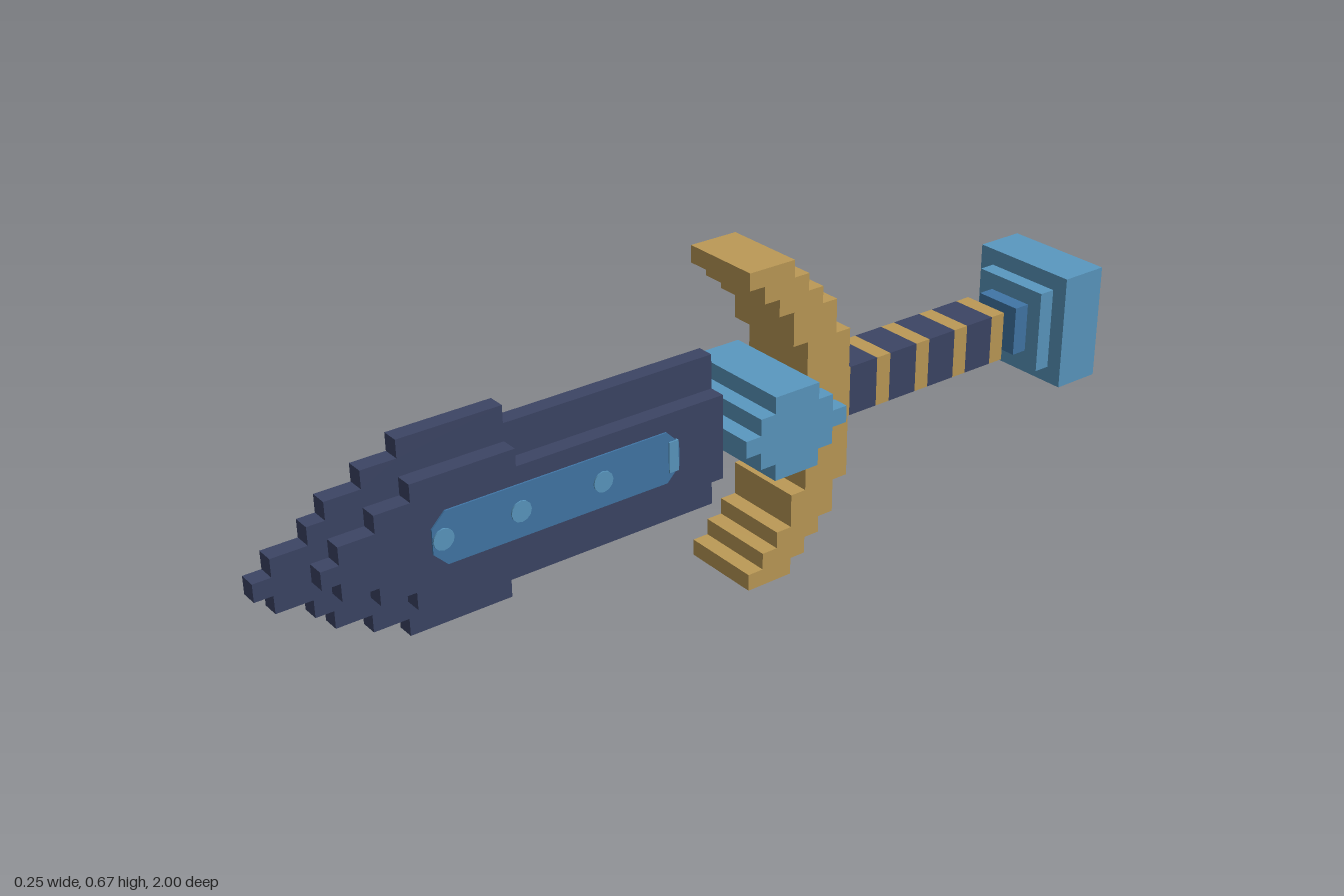
import * as THREE from 'three';

const U = 2 / 57;        // one block
const MID = 9.5;         // height of the sword's axis, in blocks

const mat = (name, color) => {
  const m = new THREE.MeshStandardMaterial({ color });
  m.name = name;
  return m;
};

export function createModel() {
  const navy = mat('navy', 0x3c4565);
  const gold = mat('gold', 0xbc9a56);
  const sky = mat('sky blue', 0x5a98c0);
  const blue = mat('deep blue', 0x4176a6);
  const sword = new THREE.Group();
  sword.name = 'sword';

  const add = (name, geometry, material, parent = sword) => {
    const mesh = new THREE.Mesh(geometry, material);
    mesh.name = name;
    parent.add(mesh);
    return mesh;
  };

  // Extrude a side outline of [z, y] block points to a half width, centred on x
  const extrudeSide = (points, halfWidth) => {
    const shape = new THREE.Shape(points.map(([z, y]) => new THREE.Vector2(z * U, (y + MID) * U)));
    return new THREE.ExtrudeGeometry(shape, { depth: 2 * halfWidth * U, bevelEnabled: false })
      .translate(0, 0, -halfWidth * U)
      .rotateY(-Math.PI / 2);
  };

  // Stepped outline, mirrored top to bottom: [start, end, half height], counted back from the tip
  const stepped = (steps) => {
    const top = steps.flatMap(([a, b, h]) => [[28.5 - a, h], [28.5 - b, h]]);
    return [...top, ...top.map(([z, y]) => [z, -y]).reverse()];
  };

  // Box with square section between two block counts from the tip
  const block = (a, b, half) =>
    new THREE.BoxGeometry(2 * half * U, 2 * half * U, (b - a) * U)
      .translate(0, MID * U, (28.5 - (a + b) / 2) * U);

  // Blade: thin cutting edge around a thicker core
  add('bladeEdge', extrudeSide(stepped([
    [0, 1, 0.5], [1, 3, 1.5], [3, 4, 2.5], [4, 6, 3.5], [6, 8, 4.5], [8, 14, 5.5], [14, 27, 4.5],
  ]), 0.5), navy);
  add('bladeCore', extrudeSide(stepped([
    [3, 4, 0.5], [4, 6, 1.5], [6, 8, 2.5], [8, 14, 3.5], [14, 27, 2.5],
  ]), 1.5), navy);

  // Inlay with chamfered ends and light spots, on both faces of the blade
  const inlay = [[19.5, 0.7], [18.7, 1.5], [5.3, 1.5], [4.5, 0.7],
    [4.5, -0.7], [5.3, -1.5], [18.7, -1.5], [19.5, -0.7]];
  add('bladeInlay', extrudeSide(inlay, 1.6), blue);
  for (const z of [18.9, 14.4, 9.4]) {
    const spot = new THREE.CylinderGeometry(0.6 * U, 0.6 * U, 3.36 * U, 12)
      .rotateZ(Math.PI / 2).translate(0, MID * U, z * U);
    add('inlaySpot', spot, sky);
  }
  add('inlayBand', new THREE.BoxGeometry(3.36 * U, 1.8 * U, 0.6 * U)
    .translate(0, MID * U, 4.9 * U), sky);

  // Guard: three-block-deep rows sweeping forward at both ends
  const rows = [[9.5, 28], [8.5, 29], [7.5, 30], [6.5, 31], [4.5, 32]];
  const front = rows.flatMap(([y, a], k) => [[28.5 - a, y], [28.5 - a, rows[k + 1]?.[0] ?? 0]]);
  const half = front.slice(0, -1);
  const inner = [...half, ...half.map(([z, y]) => [z, -y]).reverse()];
  const guard = [...inner, ...inner.map(([z, y]) => [z - 3, y]).reverse()];
  add('guard', extrudeSide(guard, 2.5), gold);

  // Gem set across the guard
  add('guardGem', extrudeSide(stepped([
    [27, 28, 0.5], [28, 29, 1.5], [29, 32, 2.5], [32, 33, 1.5], [33, 34, 0.5],
  ]), 3.5), sky);

  // Grip: gold rings between navy wraps
  const grip = new THREE.Group();
  grip.name = 'grip';
  sword.add(grip);
  for (let i = 35; i < 48; i += 3) {
    add('gripRing', block(i, i + 1, 1.5), gold, grip);
    if (i < 47) add('gripWrap', block(i + 1, i + 3, 1.5), navy, grip);
  }

  // Pommel: stepped blocks, widest in the middle
  const pommel = new THREE.Group();
  pommel.name = 'pommel';
  sword.add(pommel);
  const layers = [[48, 49, 0.5], [49, 50, 1.5], [50, 51, 2.5], [51, 54, 3.5],
    [54, 55, 2.5], [55, 56, 1.5], [56, 57, 0.5]];
  for (const [a, b, h] of layers) add('pommelLayer', block(a, b, h), h > 2 ? sky : blue, pommel);

  return sword;
}
